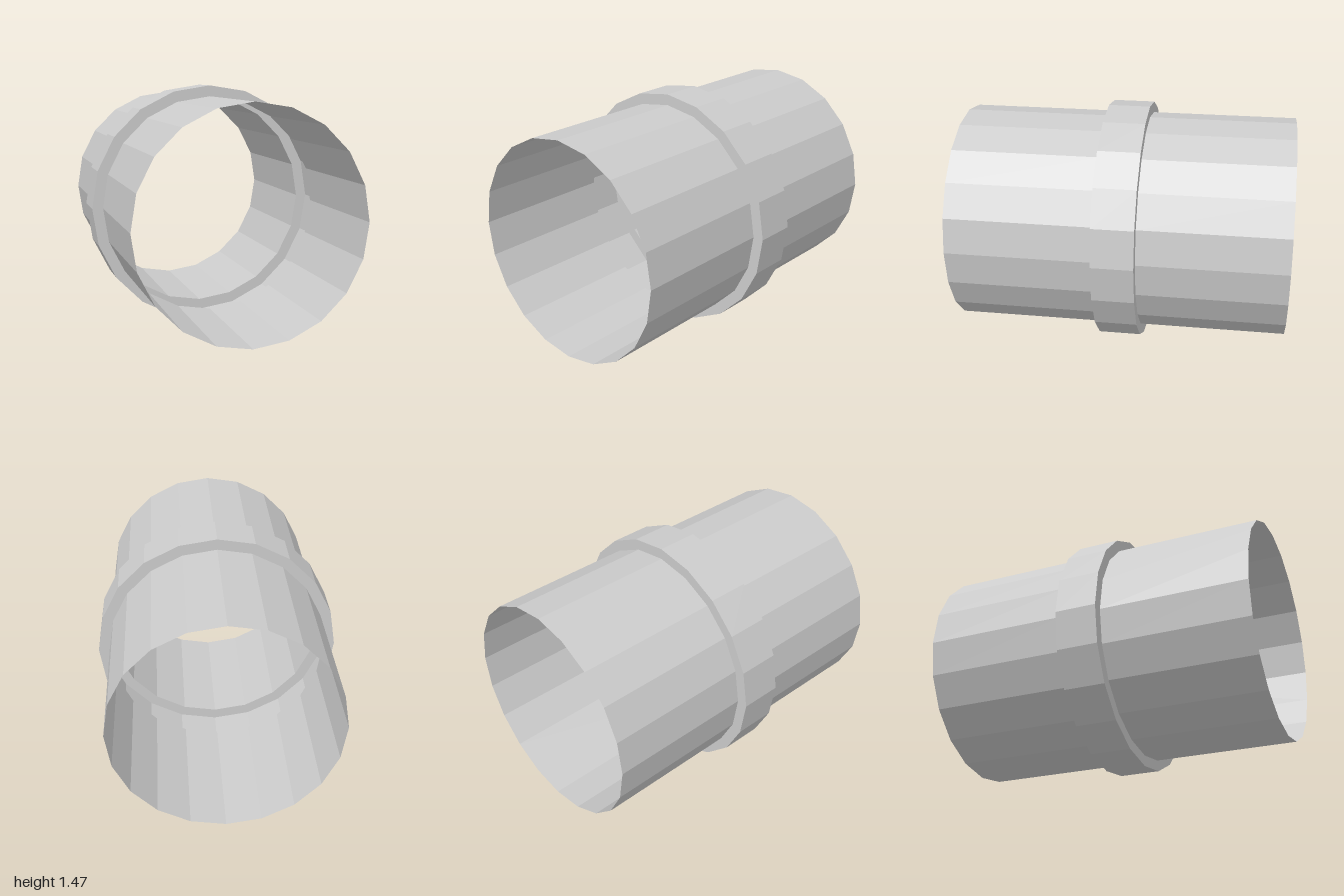
import * as THREE from 'three';

const SIDES = 20;
const PIPE_RADIUS = 0.667;
const COLLAR_RADIUS = 0.733;
const COLLAR_HALF = 0.125;

export function createModel() {
  const group = new THREE.Group();
  group.name = 'pipeCoupling';
  const material = new THREE.MeshStandardMaterial({
    color: 0xcccccc, flatShading: true, side: THREE.DoubleSide,
  });

  // Thin skin turned about the z axis from [radius, z] points
  function addSkin(name, profile) {
    const points = profile.map(([r, z]) => new THREE.Vector2(r, z));
    const geometry = new THREE.LatheGeometry(points, SIDES);
    geometry.rotateX(Math.PI / 2);
    geometry.translate(0, COLLAR_RADIUS, 0);
    const mesh = new THREE.Mesh(geometry, material);
    mesh.name = name;
    group.add(mesh);
  }

  // Open pipe ends
  addSkin('backPipe', [[PIPE_RADIUS, -1], [PIPE_RADIUS, -COLLAR_HALF]]);
  addSkin('frontPipe', [[PIPE_RADIUS, COLLAR_HALF], [PIPE_RADIUS, 1]]);

  // Raised collar, hollow on the inside like a groove
  addSkin('collar', [
    [PIPE_RADIUS, -COLLAR_HALF],
    [COLLAR_RADIUS, -COLLAR_HALF],
    [COLLAR_RADIUS, COLLAR_HALF],
    [PIPE_RADIUS, COLLAR_HALF],
  ]);

  return group;
}
